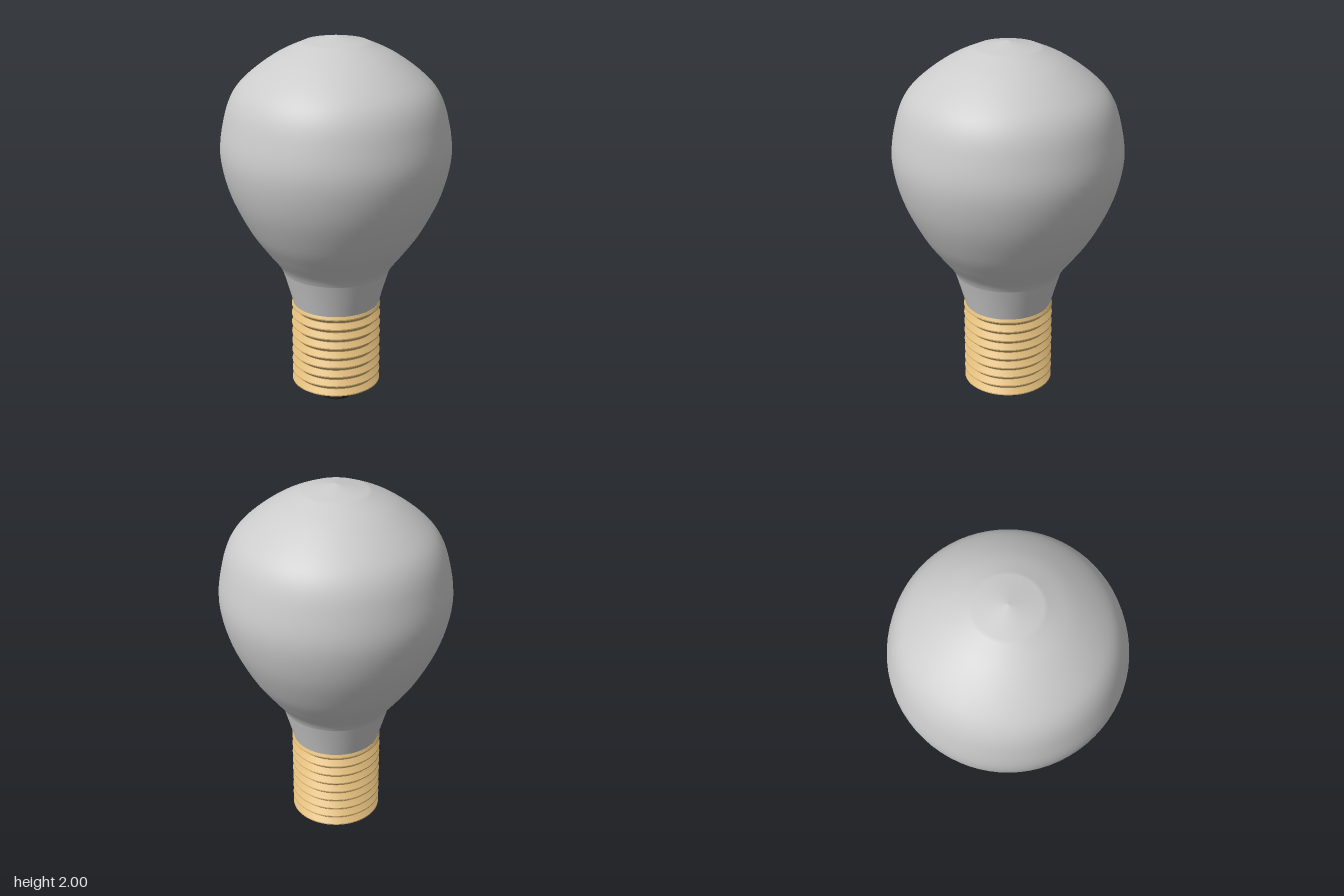
import * as THREE from 'three';
import { toCreasedNormals } from 'three/addons/utils/BufferGeometryUtils.js';

const SEGMENTS = 72;
const vectors = (pairs) => pairs.map(([r, y]) => new THREE.Vector2(r, y));

function lathe(name, points, color, creased) {
  let geometry = new THREE.LatheGeometry(points, SEGMENTS);
  if (creased) geometry = toCreasedNormals(geometry, 0.5);
  const material = new THREE.MeshStandardMaterial({ color, side: THREE.DoubleSide });
  const mesh = new THREE.Mesh(geometry, material);
  mesh.name = name;
  return mesh;
}

export function createModel() {
  const model = new THREE.Group();
  model.name = 'lightBulb';

  // Glass envelope: tapered neck, then a swelling body and a shallow domed crown
  const body = new THREE.SplineCurve(vectors([
    [0.285, 0.75], [0.31, 0.795], [0.375, 0.88], [0.46, 1.005], [0.552, 1.2], [0.595, 1.4],
    [0.572, 1.58], [0.525, 1.71], [0.44, 1.805], [0.3, 1.905], [0.16, 1.97],
  ])).getPoints(50);
  const glass = [...vectors([[0.23, 0.56], [0.257, 0.655]]), ...body, new THREE.Vector2(0, 2)];
  model.add(lathe('glassBulb', glass, 0xcccccc, false));

  // Screw base: bottom funnel, nine thread ridges, closed top rim
  const base = [[0, 0.04], [0.1, 0.04], [0.13, 0.05], [0.185, 0.07], [0.22, 0.088]];
  const ridges = 9, pitch = 0.0555, first = 0.102;
  for (let i = 0; i < ridges; i++) {
    const y = first + i * pitch;
    base.push([0.24, y - 0.003], [0.24, y + 0.003]);
    if (i < ridges - 1) base.push([0.214, y + pitch * 0.47], [0.214, y + pitch * 0.53]);
  }
  base.push([0.232, 0.562], [0, 0.562]);
  model.add(lathe('screwBase', vectors(base), 0xdcb878, true));

  // Dark contact at the foot
  const contact = vectors([[0, 0], [0.094, 0], [0.1, 0.044], [0, 0.044]]);
  model.add(lathe('footContact', contact, 0x222222, true));

  return model;
}
